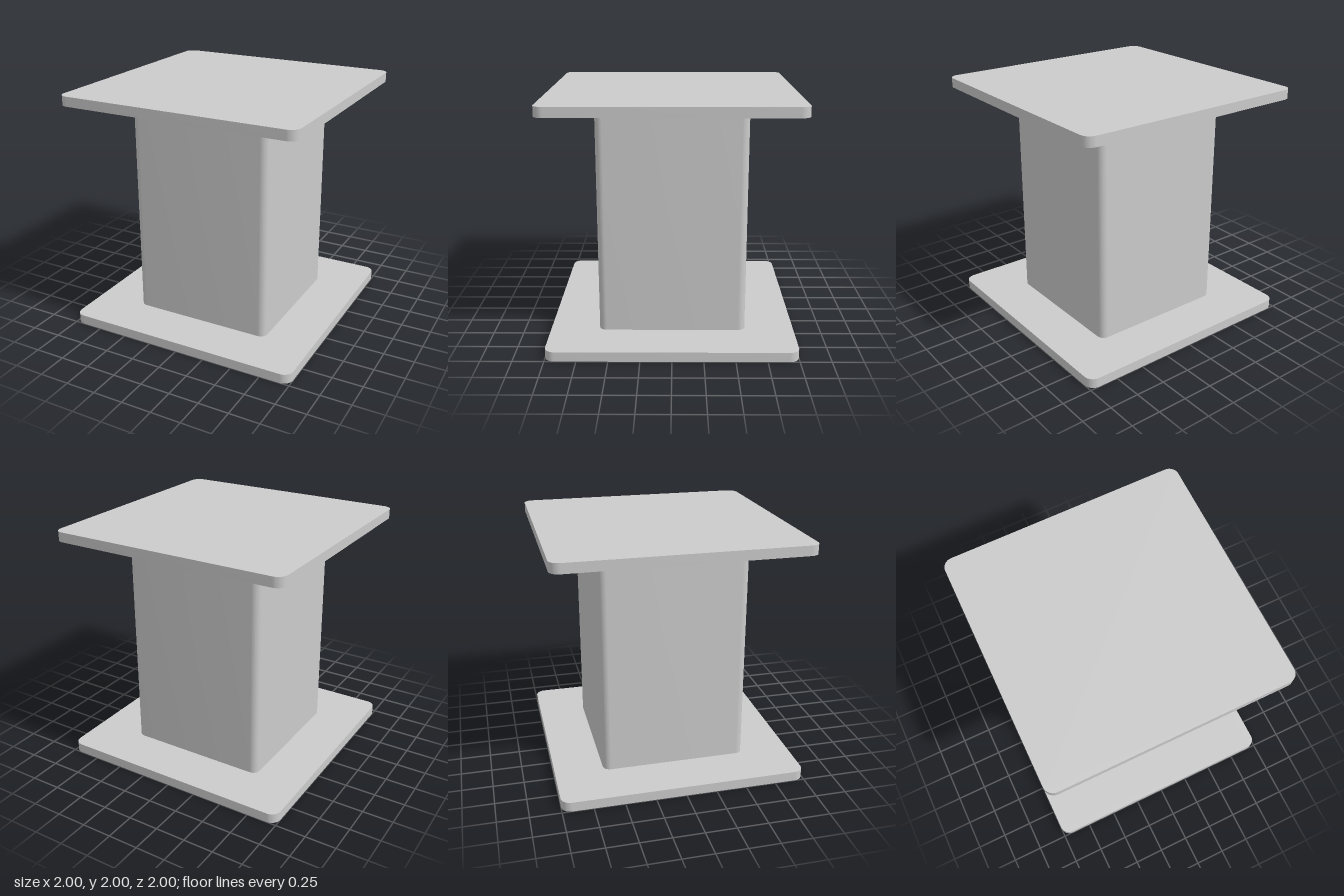
import * as THREE from 'three';
import { toCreasedNormals } from 'three/addons/utils/BufferGeometryUtils.js';

const material = new THREE.MeshStandardMaterial({ color: 0xcccccc });

// Upright square prism with rounded vertical edges, spanning y0 to y1
function roundedPrism(name, half, radius, y0, y1) {
  const c = half - radius;
  const shape = new THREE.Shape();
  [[c, c], [-c, c], [-c, -c], [c, -c]].forEach(([x, y], i) => {
    shape.absarc(x, y, radius, i * Math.PI / 2, (i + 1) * Math.PI / 2, false);
  });
  shape.closePath();
  const geometry = new THREE.ExtrudeGeometry(shape, { depth: y1 - y0, bevelEnabled: false, curveSegments: 8 });
  geometry.rotateX(-Math.PI / 2).translate(0, y0, 0);
  const mesh = new THREE.Mesh(toCreasedNormals(geometry, Math.PI / 6), material);
  mesh.name = name;
  return mesh;
}

export function createModel() {
  const model = new THREE.Group();
  model.name = 'pedestal';
  const plate = 0.08;
  model.add(
    roundedPrism('basePlate', 1, 0.08, 0, plate),
    roundedPrism('column', 0.6, 0.06, plate, 2 - plate),
    roundedPrism('topPlate', 1, 0.08, 2 - plate, 2),
  );
  return model;
}
